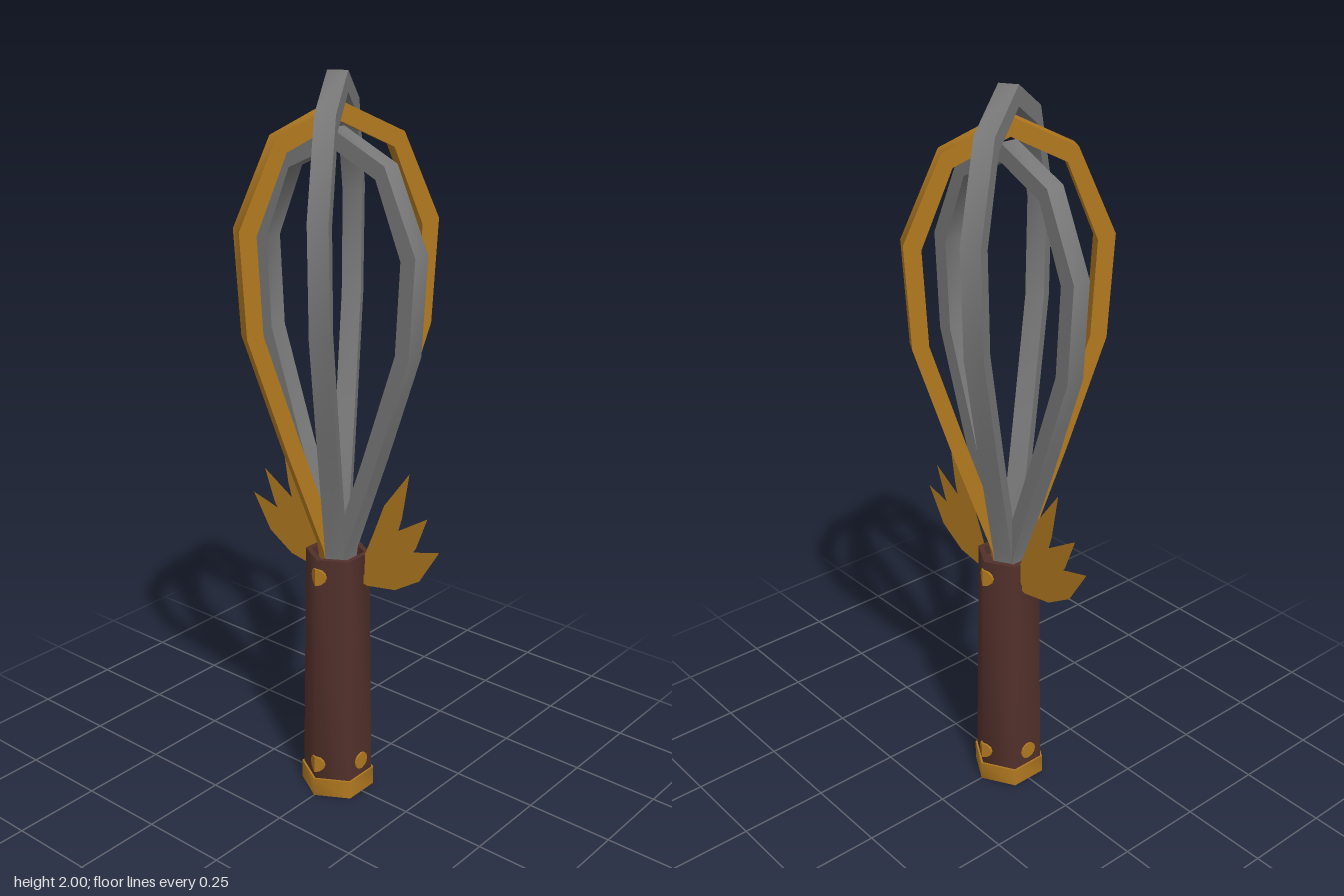
import * as THREE from 'three';
import { toCreasedNormals } from 'three/addons/utils/BufferGeometryUtils.js';

const gold = new THREE.MeshStandardMaterial({ color: 0xb07820, side: THREE.DoubleSide });
gold.name = 'gold';
const steel = new THREE.MeshStandardMaterial({ color: 0x787878 });
steel.name = 'steel grey';
const wood = new THREE.MeshStandardMaterial({ color: 0x52302a });
wood.name = 'dark wood';

const CREASE = 1.1; // keeps right angles sharp, smooths the six-sided barrel

function part(parent, name, geometry, material) {
  const mesh = new THREE.Mesh(geometry, material);
  mesh.name = name;
  parent.add(mesh);
  return mesh;
}

function hexLathe(points) {
  const profile = points.map(([x, y]) => new THREE.Vector2(x, y));
  return toCreasedNormals(new THREE.LatheGeometry(profile, 6), CREASE);
}

// Right half of a wire loop, as radius and height; scaled in height per loop
const LOOP_BASE = 0.72;
const OUTER = [[0.043, 0.70], [0.05, 0.75], [0.15, 1.06], [0.25, 1.39], [0.265, 1.68], [0.167, 1.915]];
const INNER = [[0.003, 0.70], [0.01, 0.76], [0.11, 1.075], [0.207, 1.397], [0.22, 1.665], [0.14, 1.876]];

function loopGeometry(top) {
  const k = (top - LOOP_BASE) / (2 - LOOP_BASE);
  const mirror = (pts) => pts.map(([x, y]) => [-x, y]).reverse();
  const outline = [
    ...OUTER, [0, 2], ...mirror(OUTER),
    ...mirror(INNER).reverse(), [0, 1.948], ...[...INNER].reverse(),
  ].map(([x, y]) => new THREE.Vector2(x, LOOP_BASE + (y - LOOP_BASE) * k));
  const width = 0.052;
  const geo = new THREE.ExtrudeGeometry(new THREE.Shape(outline), { depth: width, bevelEnabled: false });
  geo.translate(0, 0, -width / 2);
  return toCreasedNormals(geo, CREASE);
}

// Thin round stud, folded over the barrel's edge when bend > 0
function rivetGeometry(bend) {
  const geo = new THREE.CylinderGeometry(0.025, 0.025, 0.009, 12);
  geo.rotateX(Math.PI / 2);
  const p = geo.attributes.position;
  for (let i = 0; i < p.count; i++) p.setZ(i, p.getZ(i) - Math.abs(p.getX(i)) * bend);
  return toCreasedNormals(geo, 0.5);
}

// Wing feathers, each a pointed blade
const FEATHERS = [
  [[0.05, 0.68], [0.08, 0.74], [0.105, 0.80], [0.14, 0.89], [0.222, 1.0], [0.2, 0.87], [0.17, 0.77], [0.1, 0.67]],
  [[0.05, 0.67], [0.1, 0.73], [0.17, 0.82], [0.285, 0.892], [0.25, 0.8], [0.205, 0.73], [0.12, 0.66]],
  [[0.05, 0.65], [0.1, 0.69], [0.17, 0.745], [0.235, 0.785], [0.327, 0.81], [0.265, 0.71], [0.185, 0.66], [0.09, 0.643]],
];

export function createModel() {
  const model = new THREE.Group();
  model.name = 'whisk';

  // Tapered six-sided handle with a shallow socket on top
  part(model, 'handle', hexLathe([
    [0.098, 0.05], [0.088, 0.73], [0.072, 0.73], [0.068, 0.705], [0, 0.705],
  ]), wood);
  part(model, 'endCap', hexLathe([
    [0, 0], [0.104, 0], [0.104, 0.054], [0, 0.054],
  ]), gold);

  // Three loops nested at different heights
  const loops = [
    ['innerLoop', 1.865, 0, steel],
    ['middleLoop', 1.93, Math.PI / 3, gold],
    ['outerLoop', 2.0, -Math.PI / 3, steel],
  ];
  for (const [name, top, angle, material] of loops) {
    part(model, name, loopGeometry(top), material).rotation.y = angle;
  }

  // Studs: four near the foot, two near the top
  const bent = rivetGeometry(Math.tan(Math.PI / 6));
  const flat = rivetGeometry(0);
  const rivets = [
    ['lowerRivet', 0.1, 0, bent, 0.098], ['lowerRivet', 0.1, 2, bent, 0.098],
    ['lowerRivet', 0.1, 1, flat, 0.0845], ['lowerRivet', 0.1, 3, flat, 0.0845],
    ['upperRivet', 0.68, 0, bent, 0.0895], ['upperRivet', 0.68, 2, bent, 0.0895],
  ];
  for (const [name, y, quarter, geo, r] of rivets) {
    const a = quarter * Math.PI / 2;
    const rivet = part(model, name, geo, gold);
    rivet.position.set(r * Math.sin(a), y, r * Math.cos(a));
    rivet.rotation.y = a;
  }

  // Pair of flat wings beside the socket
  for (const side of [1, -1]) {
    const wing = new THREE.Group();
    wing.name = side > 0 ? 'leftWing' : 'rightWing';
    FEATHERS.forEach((pts, i) => {
      const shape = new THREE.Shape(pts.map(([x, y]) => new THREE.Vector2(side * x, y)));
      part(wing, 'feather', new THREE.ShapeGeometry(shape), gold).position.z = -0.024 + i * 0.003;
    });
    model.add(wing);
  }
  return model;
}
